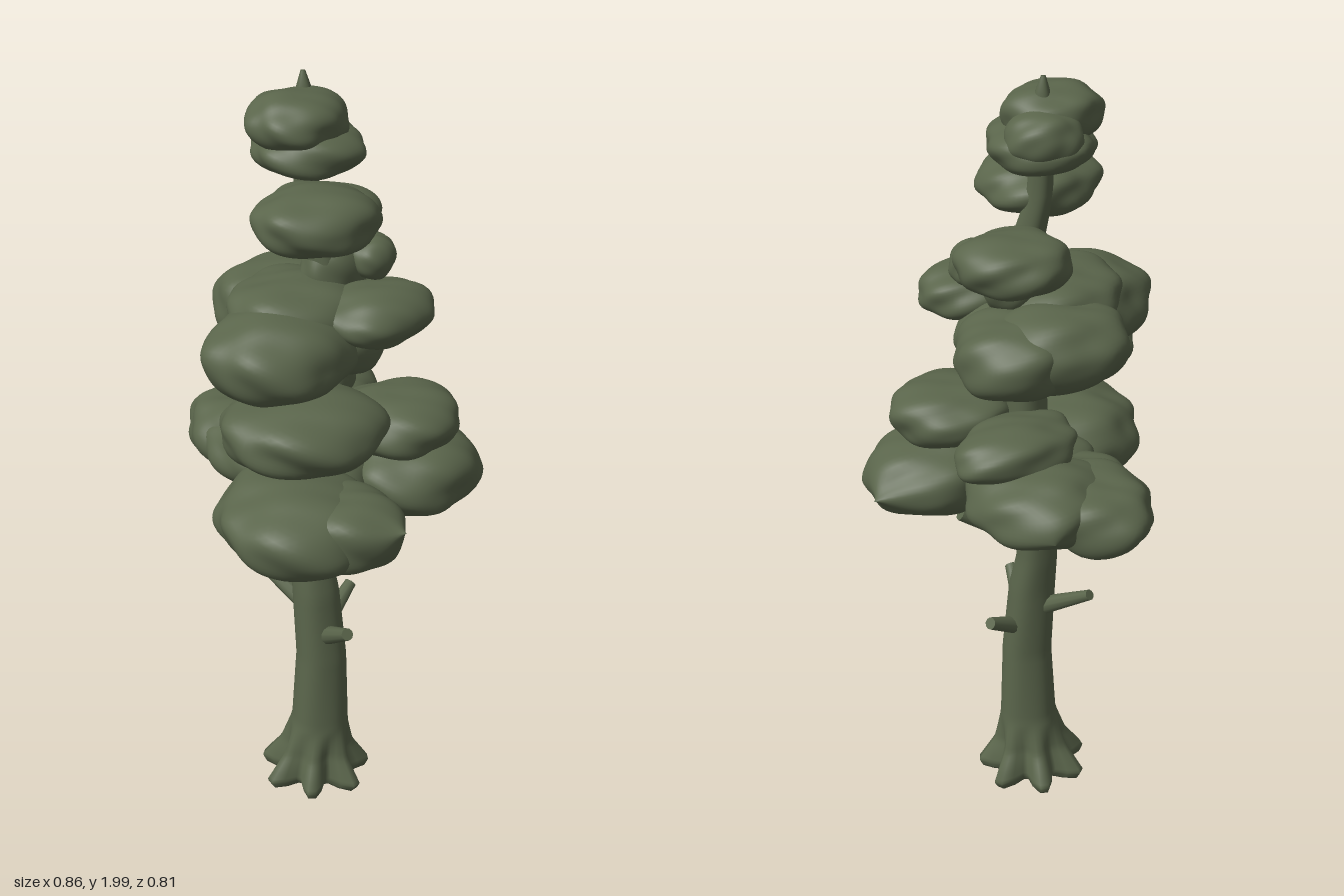
import * as THREE from 'three';
import { mergeVertices } from 'three/addons/utils/BufferGeometryUtils.js';

const green = new THREE.MeshStandardMaterial({ color: 0x5a654b });
green.name = 'mossGreen';

// Foliage pads by tier: centre x, y, z, then radii x, y, z, then an optional pointed end
const CROWN = [
  [0, 1.9, 0.045, 0.112, 0.066, 0.12],
  [-0.05, 1.865, -0.02, 0.09, 0.065, 0.09],
  [0, 1.83, 0.01, 0.138, 0.058, 0.132],
  [0.09, 1.69, 0.08, 0.14, 0.073, 0.15],
  [-0.065, 1.585, -0.125, 0.135, 0.068, 0.135],
  [0.09, 1.53, -0.12, 0.058, 0.055, 0.065],
  [0.02, 1.5, -0.06, 0.075, 0.085, 0.09],
];
const MIDDLE = [
  [0.05, 1.36, 0.17, 0.17, 0.108, 0.178],
  [-0.13, 1.37, -0.03, 0.155, 0.098, 0.165],
  [-0.08, 1.355, -0.14, 0.15, 0.095, 0.14],
  [0.0, 1.42, 0.06, 0.165, 0.085, 0.165],
  [0.165, 1.425, -0.06, 0.118, 0.067, 0.15],
  [0.04, 1.34, -0.04, 0.14, 0.1, 0.14],
  [0.03, 1.24, -0.03, 0.07, 0.08, 0.07],
  [0.14, 1.205, 0.185, 0.192, 0.088, 0.195],
  [0.17, 1.105, -0.14, 0.152, 0.075, 0.155],
  [-0.07, 1.09, -0.12, 0.118, 0.068, 0.165],
];
const BOTTOM = [
  [-0.26, 0.97, -0.03, 0.16, 0.09, 0.14],
  [-0.17, 0.985, -0.13, 0.185, 0.097, 0.165, [-0.335, 0.97, -0.215]],
  [-0.16, 0.96, 0.02, 0.15, 0.08, 0.125],
  [0.14, 0.95, 0.2, 0.2, 0.107, 0.195],
  [0.255, 0.955, 0.15, 0.14, 0.088, 0.14, [0.425, 0.995, 0.125]],
  [0.175, 0.945, -0.19, 0.165, 0.1, 0.18, [0.145, 0.94, -0.405]],
  [0.02, 0.96, 0.0, 0.16, 0.09, 0.16],
  [-0.08, 0.815, 0.1, 0.1, 0.065, 0.075],
];

// Trunk sections: height, centre x, centre z, radius
const TRUNK = [
  [0.01, 0.02, 0, 0.108], [0.03, 0.02, 0, 0.12], [0.06, 0.022, 0, 0.108],
  [0.1, 0.025, 0, 0.09], [0.2, 0.032, -0.005, 0.076], [0.4, 0.033, -0.008, 0.066],
  [0.6, 0.015, -0.005, 0.06], [0.7, -0.005, -0.005, 0.052], [0.85, -0.015, -0.01, 0.05],
  [1.1, 0.025, -0.01, 0.05], [1.35, 0.03, -0.02, 0.05], [1.55, 0.025, -0.02, 0.043],
  [1.7, -0.01, 0, 0.032], [1.85, -0.02, 0, 0.026], [1.95, -0.02, 0, 0.022],
  [2.0, -0.023, 0, 0.006],
];

function sectionAt(y) {
  let i = 0;
  while (i < TRUNK.length - 2 && y > TRUNK[i + 1][0]) i++;
  const a = TRUNK[i], b = TRUNK[i + 1];
  const k = THREE.MathUtils.clamp((y - a[0]) / (b[0] - a[0]), 0, 1);
  return a.map((v, j) => THREE.MathUtils.lerp(v, b[j], k));
}

function smooth(geometry) {
  geometry.deleteAttribute('uv');
  geometry.deleteAttribute('normal');
  const merged = mergeVertices(geometry, 1e-5);
  merged.computeVertexNormals();
  return merged;
}

// Lumpy, slightly squared ellipsoid, drawn out towards its pointed end
function padGeometry([cx, cy, cz, rx, ry, rz, tip], seed) {
  const g = smooth(new THREE.IcosahedronGeometry(1, 11));
  const p = g.attributes.position;
  const centre = new THREE.Vector3(cx, cy, cz);
  const end = tip && new THREE.Vector3(...tip);
  const towards = tip && new THREE.Vector3((tip[0] - cx) / rx, (tip[1] - cy) / ry, (tip[2] - cz) / rz).normalize();
  const d = new THREE.Vector3(), v = new THREE.Vector3();
  for (let i = 0; i < p.count; i++) {
    d.fromBufferAttribute(p, i).normalize();
    const lump = 0.045 * Math.sin(3.1 * d.x + 2.3 * d.z + seed * 1.7)
      + 0.03 * Math.sin(5.3 * d.z - 3.7 * d.y + seed * 2.9)
      + 0.025 * Math.sin(7.1 * d.x + 4.9 * d.y + seed * 4.3)
      + 0.012 * Math.sin(11 * d.z + 9 * d.x + seed);
    const h = Math.hypot(d.x, d.z);
    const square = Math.pow(Math.pow(h, 2.3) + Math.pow(Math.abs(d.y), 2.3), -1 / 2.3);
    const s = square * (1 + lump);
    v.set(d.x * rx * s, d.y * ry * s, d.z * rz * s).add(centre);
    if (tip) v.lerp(end, Math.pow(Math.max(0, d.dot(towards)), 12));
    p.setXYZ(i, v.x, v.y, v.z);
  }
  g.computeVertexNormals();
  return g;
}

// Trunk with flared, lobed roots and a pointed top
function trunkGeometry() {
  const g = new THREE.CylinderGeometry(1, 1, 1, 42, 90);
  const p = g.attributes.position;
  for (let i = 0; i < p.count; i++) {
    const t = p.getY(i) + 0.5;
    const y = 0.01 + 1.99 * t * (0.3 + 0.7 * t);
    const [, cx, cz, r] = sectionAt(y);
    const a = Math.atan2(p.getZ(i), p.getX(i));
    const flare = Math.max(0, 1 - y / 0.18);
    const s = r * (1 + 0.34 * flare * Math.cos(7 * a) + 0.03 * Math.cos(4 * a + y * 3));
    const len = Math.hypot(p.getX(i), p.getZ(i));
    p.setXYZ(i, cx + Math.cos(a) * s * len, y, cz + Math.sin(a) * s * len);
  }
  return smooth(g);
}

function limb(name, from, to, r0, r1) {
  const a = new THREE.Vector3(...from), b = new THREE.Vector3(...to);
  const dir = b.clone().sub(a);
  const mesh = new THREE.Mesh(new THREE.CylinderGeometry(r1, r0, dir.length(), 10), green);
  mesh.position.copy(a).add(b).multiplyScalar(0.5);
  mesh.quaternion.setFromUnitVectors(new THREE.Vector3(0, 1, 0), dir.normalize());
  mesh.name = name;
  return mesh;
}

export function createModel() {
  const tree = new THREE.Group();
  tree.name = 'tree';

  const trunk = new THREE.Mesh(trunkGeometry(), green);
  trunk.name = 'trunk';
  tree.add(trunk);

  // Bare stubs on the lower trunk and thin branches under the foliage
  tree.add(
    limb('brokenStub', [0.01, 0.53, 0], [-0.165, 0.64, 0.04], 0.027, 0.014),
    limb('brokenStub', [0.05, 0.465, 0], [0.18, 0.555, 0.055], 0.027, 0.016),
    limb('brokenStub', [0.03, 0.465, -0.01], [0.01, 0.54, -0.148], 0.027, 0.016),
    limb('lowBranch', [-0.01, 0.755, -0.02], [0.06, 0.87, -0.2], 0.026, 0.018),
    limb('lowBranch', [-0.02, 0.83, 0], [-0.18, 0.88, 0.03], 0.022, 0.014),
  );

  // Foliage pads, each carried by a limb from the trunk
  [...CROWN, ...MIDDLE, ...BOTTOM].forEach((pad, i) => {
    const mesh = new THREE.Mesh(padGeometry(pad, i + 1), green);
    mesh.name = 'foliagePad';
    const [cx, cy, cz] = pad;
    const [y, tx, tz, r] = sectionAt(cy - 0.06);
    tree.add(mesh, limb('limb', [tx, y, tz], [cx, cy - 0.01, cz], r * 0.75, r * 0.4));
  });
  return tree;
}
